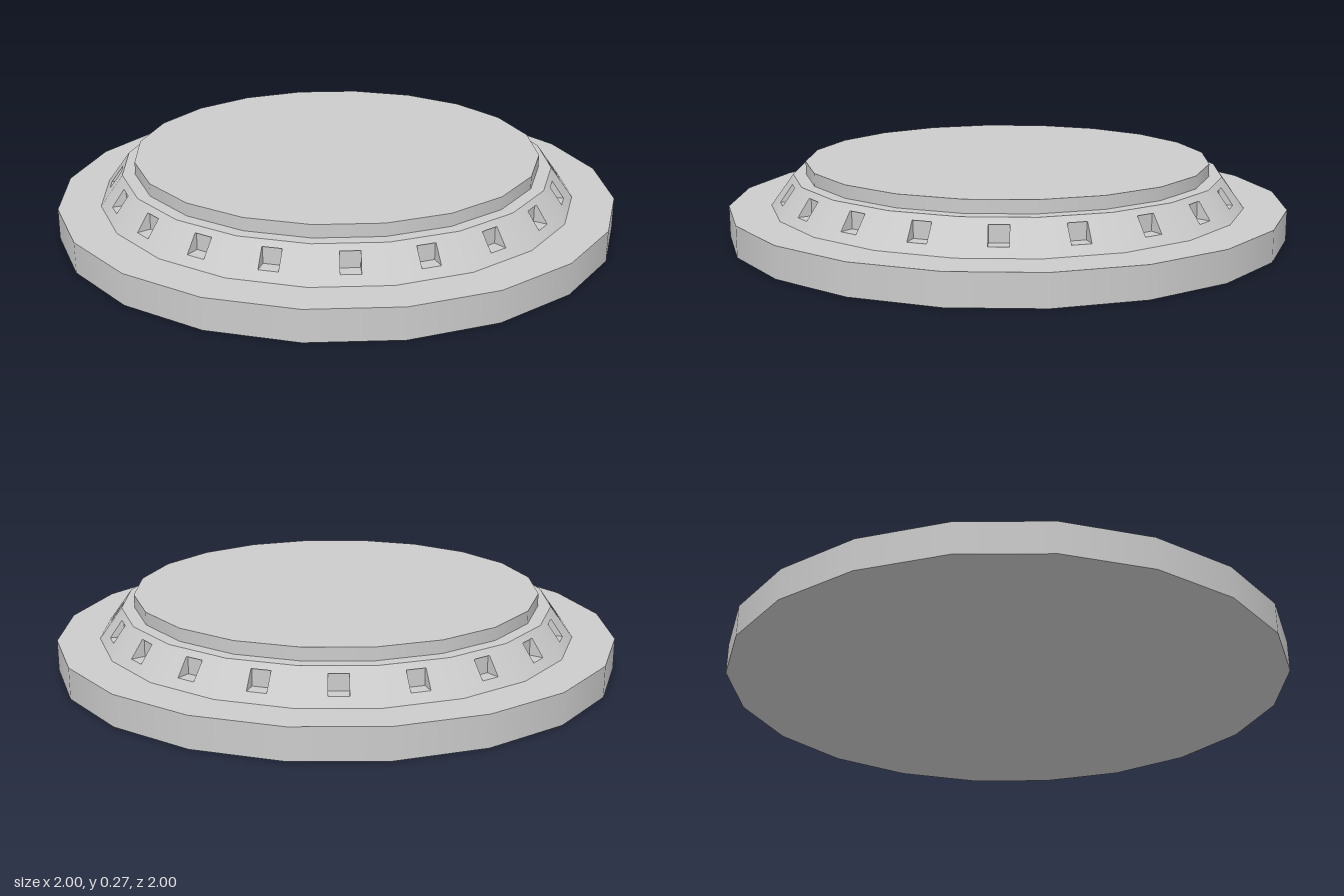
import * as THREE from 'three';

const SIDES = 20;
const STEP = (Math.PI * 2) / SIDES;
const Y0 = 0.11, Y1 = 0.22, Y2 = 0.265;   // base top, collar top, lid top
const R0 = 0.85, R1 = 0.77;               // collar radius at bottom and top
const SLOPE = (R0 - R1) / (Y1 - Y0);

const material = new THREE.MeshStandardMaterial({ color: 0xcccccc });

function addMesh(group, name, geometry, y = 0) {
  const mesh = new THREE.Mesh(geometry, material);
  mesh.name = name;
  mesh.position.y = y;
  group.add(mesh);
  return mesh;
}

function quadsToGeometry(quads) {
  const points = quads.flatMap(([a, b, c, d]) => [a, b, c, a, c, d]);
  const geometry = new THREE.BufferGeometry().setFromPoints(points);
  geometry.computeVertexNormals();
  return geometry;
}

// Four corners of an upright rectangle on one collar side, counter-clockwise from outside
function corners(angle, halfBottom, halfTop, yBottom, yTop, rBottom, rTop) {
  return [
    [-halfBottom, yBottom, rBottom], [halfBottom, yBottom, rBottom],
    [halfTop, yTop, rTop], [-halfTop, yTop, rTop],
  ].map((p) => new THREE.Vector3(...p).applyAxisAngle(new THREE.Vector3(0, 1, 0), angle));
}

// Joins two loops of four corners
const bridge = (a, b) => a.map((_, i) => {
  const j = (i + 1) % 4;
  return [a[i], a[j], b[j], b[i]];
});

export function createModel() {
  const group = new THREE.Group();
  group.name = 'roundPlatform';

  // Wide base plate
  addMesh(group, 'basePlate', new THREE.CylinderGeometry(1, 1, Y0, SIDES), Y0 / 2);

  // Sloped collar: each side is a frame around a square window recess
  const wall = [], recesses = [];
  const half = STEP / 2, cos = Math.cos(half), sin = Math.sin(half);
  const faceRadius = (y) => (R0 - (y - Y0) * SLOPE) * cos;
  const w = 0.033, lo = 0.14, hi = 0.2, back = 0.768;
  for (let i = 0; i < SIDES; i++) {
    const a = (i + 0.5) * STEP;
    const outer = corners(a, R0 * sin, R1 * sin, Y0, Y1, R0 * cos, R1 * cos);
    const hole = corners(a, w, w, lo, hi, faceRadius(lo), faceRadius(hi));
    const rear = corners(a, w, w, lo, hi, back, back);
    wall.push(...bridge(outer, hole));
    recesses.push(...bridge(hole, rear), rear);
  }
  const collar = quadsToGeometry(wall);

  // Smooth cone normals around the collar
  const pos = collar.attributes.position, n = new THREE.Vector3();
  for (let i = 0; i < pos.count; i++) {
    n.set(pos.getX(i), 0, pos.getZ(i)).normalize().setY(SLOPE).normalize();
    collar.attributes.normal.setXYZ(i, n.x, n.y, n.z);
  }
  addMesh(group, 'collar', collar);
  addMesh(group, 'windowRecesses', quadsToGeometry(recesses));

  // Flat ledge between the collar and the lid
  const ledge = new THREE.RingGeometry(0.7, R1, SIDES).rotateX(-Math.PI / 2);
  addMesh(group, 'collarLedge', ledge, Y1);

  // Raised lid
  addMesh(group, 'lid', new THREE.CylinderGeometry(0.725, 0.725, Y2 - Y1, SIDES), (Y1 + Y2) / 2);

  return group;
}
